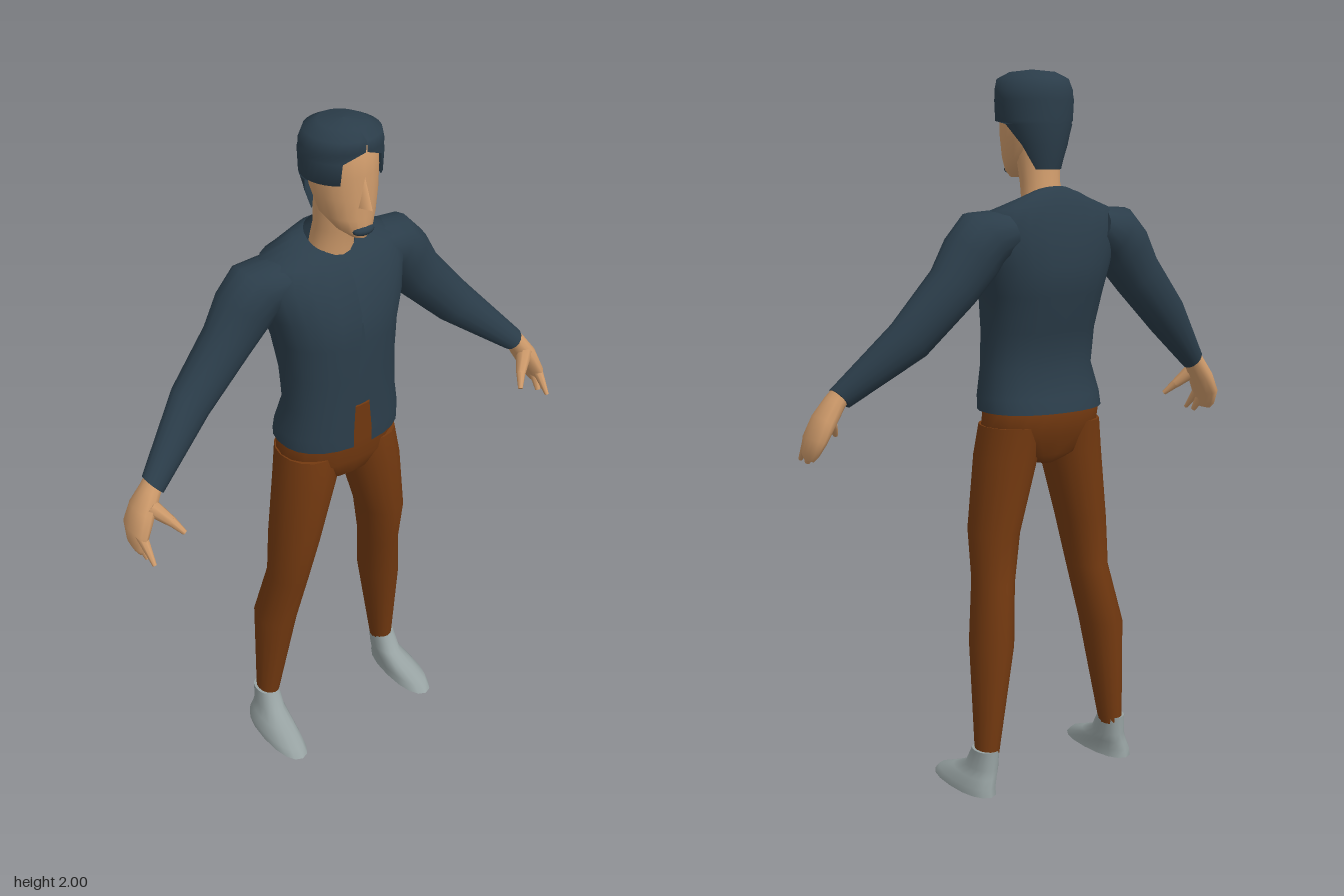
import * as THREE from 'three';

const mat = (name, color, open) => {
  const m = new THREE.MeshStandardMaterial({ color });
  m.name = name;
  if (open) m.side = THREE.DoubleSide;
  return m;
};

// Skin a row of elliptical rings [x, y, z, rx, rz, gap, tilt].
// gap: half angle left open at the front; tilt: rise of the ring with z.
// along: rings stand across the path instead of lying level.
function loft(rows, { n = 16, open = false, along = false, caps = true, p = 1 } = {}) {
  const pos = [], idx = [], front = new THREE.Vector3(0, 0, 1);
  const pow = v => Math.sign(v) * Math.abs(v) ** p;
  const list = rows.map((r, i) => ({ r, i, k: 1 }));
  if (caps) {
    const end = { r: rows.at(-1), i: rows.length - 1 };
    list.unshift({ r: rows[0], i: 0, k: 0 }, { r: rows[0], i: 0, k: 1 });
    list.push({ ...end, k: 1 }, { ...end, k: 0 });
  }
  const cols = open ? n + 1 : n;
  for (const { r, i, k } of list) {
    const [x, y, z, rx, rz, gap = 0, tilt = 0] = r;
    const dir = new THREE.Vector3(0, 1, 0);
    if (along) {
      const a = rows[Math.max(i - 1, 0)], b = rows[Math.min(i + 1, rows.length - 1)];
      dir.set(b[0] - a[0], b[1] - a[1], 0).normalize();
    }
    const side = dir.clone().cross(front);
    for (let j = 0; j < cols; j++) {
      const t = gap + (2 * Math.PI - 2 * gap) * j / n;
      const u = pow(Math.sin(t)) * rx * k, v = pow(Math.cos(t)) * rz * k;
      pos.push(x + side.x * u, y + side.y * u + tilt * v, z + v);
    }
  }
  for (let i = 0; i < list.length - 1; i++) {
    for (let j = 0; j < n; j++) {
      const a = i * cols + j, b = i * cols + (j + 1) % cols;
      idx.push(a, b, b + cols, a, b + cols, a + cols);
    }
  }
  const g = new THREE.BufferGeometry();
  g.setAttribute('position', new THREE.Float32BufferAttribute(pos, 3));
  g.setIndex(idx);
  g.computeVertexNormals();
  return g;
}

// Tapered round bar between two points
function taper(a, b, r0, r1) {
  const A = new THREE.Vector3(...a), B = new THREE.Vector3(...b), d = B.clone().sub(A);
  const g = new THREE.CylinderGeometry(r1, r0, d.length(), 8);
  g.applyQuaternion(new THREE.Quaternion().setFromUnitVectors(new THREE.Vector3(0, 1, 0), d.normalize()));
  const c = A.add(B).multiplyScalar(0.5);
  return g.translate(c.x, c.y, c.z);
}

export function createModel() {
  const model = new THREE.Group();
  model.name = 'standingMan';
  const skin = mat('skin', 0xcf9b6b), brown = mat('brown trousers', 0x733910);
  const navy = mat('dark navy', 0x2b3d4a, true), grey = mat('grey shoes', 0x97a2a2);
  const add = (name, geometry, material, parent = model) => {
    const m = new THREE.Mesh(geometry, material);
    m.name = name;
    parent.add(m);
    return m;
  };

  // Jacket, parted at the front below the chest
  add('jacket', loft([
    [0, 1.08, -0.005, 0.183, 0.133, 0.13],
    [0, 1.12, 0.0, 0.182, 0.128, 0.13],
    [0, 1.2, 0.012, 0.166, 0.113, 0.11],
    [0, 1.3, 0.003, 0.166, 0.123, 0.07],
    [0, 1.4, -0.012, 0.178, 0.138, 0.03],
    [0, 1.48, -0.02, 0.2, 0.14],
    [0, 1.57, -0.03, 0.222, 0.115],
    [0, 1.625, -0.04, 0.2, 0.088, 0, -0.15],
    [0, 1.655, -0.035, 0.1, 0.068, 0, -0.4],
    [0, 1.663, -0.03, 0.068, 0.058, 0, -0.5],
  ], { n: 24, open: true, caps: false, p: 0.88 }), navy);
  add('shirt', loft([
    [0, 1.19, 0.008, 0.15, 0.102], [0, 1.3, 0.0, 0.15, 0.112], [0, 1.45, -0.015, 0.17, 0.12],
  ], { p: 0.88 }), navy);

  // Trousers
  add('hips', loft([
    [0, 0.925, -0.005, 0.03, 0.05],
    [0, 0.955, -0.005, 0.12, 0.085],
    [0, 1.01, -0.002, 0.182, 0.102],
    [0, 1.08, -0.012, 0.176, 0.12],
    [0, 1.2, 0.01, 0.153, 0.106],
  ], { n: 20, p: 0.9 }), brown);

  for (const s of [1, -1]) {
    const side = s > 0 ? 'left' : 'right';
    const mx = rows => rows.map(([x, ...rest]) => [x * s, ...rest]);

    add(side + 'TrouserLeg', loft(mx([
      [0.22, 0.11, -0.06, 0.031, 0.04],
      [0.192, 0.43, -0.045, 0.058, 0.075],
      [0.164, 0.6, -0.012, 0.055, 0.074],
      [0.151, 0.74, 0.003, 0.067, 0.088],
      [0.11, 0.95, 0.003, 0.088, 0.098],
      [0.1, 1.04, -0.005, 0.083, 0.098],
    ])), brown);

    // Shoe with a dark patch under the toe
    add(side + 'Shoe', loft(mx([
      [0.24, 0.003, 0.025, 0.052, 0.138],
      [0.24, 0.025, 0.015, 0.05, 0.125],
      [0.232, 0.05, -0.015, 0.043, 0.09],
      [0.226, 0.075, -0.042, 0.037, 0.06],
      [0.224, 0.13, -0.06, 0.035, 0.043],
    ]), { p: 0.9 }), grey);
    add(side + 'SolePatch', new THREE.BoxGeometry(0.05, 0.005, 0.04), navy)
      .position.set(0.24 * s, 0.0025, 0.105);

    // Sleeve from inside the shoulder to the wrist
    add(side + 'Sleeve', loft(mx([
      [0.15, 1.575, -0.045, 0.06, 0.085],
      [0.215, 1.555, -0.05, 0.085, 0.085],
      [0.255, 1.51, -0.052, 0.085, 0.077],
      [0.31, 1.435, -0.05, 0.074, 0.064],
      [0.437, 1.303, -0.035, 0.063, 0.054],
      [0.603, 1.155, 0.04, 0.034, 0.036],
    ]), { along: true }), navy);

    // Hand: cupped palm, two fingers and a thumb
    const hand = new THREE.Group();
    hand.name = side + 'Hand';
    model.add(hand);
    add('palm', loft(mx([
      [0.59, 1.178, 0.038, 0.026, 0.028],
      [0.615, 1.145, 0.045, 0.028, 0.034],
      [0.645, 1.1, 0.05, 0.03, 0.048],
      [0.67, 1.05, 0.056, 0.024, 0.055],
      [0.68, 1.01, 0.066, 0.014, 0.042],
      [0.681, 0.995, 0.07, 0.006, 0.028],
    ]), { along: true, n: 12 }), skin, hand);
    const digit = (name, a, b, r0, r1) =>
      add(name, taper([a[0] * s, a[1], a[2]], [b[0] * s, b[1], b[2]], r0, r1), skin, hand);
    digit('indexFinger', [0.672, 1.05, 0.085], [0.67, 0.985, 0.143], 0.017, 0.006);
    digit('middleFinger', [0.675, 1.04, 0.07], [0.668, 0.983, 0.105], 0.018, 0.008);
    digit('thumb', [0.632, 1.115, 0.07], [0.592, 1.07, 0.105], 0.024, 0.014);
    digit('thumbTip', [0.594, 1.073, 0.103], [0.57, 1.04, 0.132], 0.014, 0.007);
  }

  // Head and neck
  add('neck', loft([
    [0, 1.59, -0.025, 0.068, 0.058], [0, 1.65, -0.02, 0.06, 0.056],
    [0, 1.7, -0.008, 0.056, 0.056], [0, 1.79, 0.005, 0.062, 0.06],
  ]), skin);
  add('face', loft([
    [0, 1.712, 0.092, 0.022, 0.03],
    [0, 1.73, 0.074, 0.046, 0.055],
    [0, 1.765, 0.046, 0.07, 0.08],
    [0, 1.82, 0.033, 0.083, 0.093],
    [0, 1.88, 0.025, 0.09, 0.098],
    [0, 1.94, 0.025, 0.086, 0.095],
    [0, 1.975, 0.025, 0.06, 0.07],
  ], { n: 20 }), skin);
  const nose = new THREE.ConeGeometry(0.024, 0.085, 4);
  nose.scale(0.85, 1, 1.5).translate(0, 1.842, 0.12);
  add('nose', nose, skin);
  const beard = new THREE.SphereGeometry(1, 14, 8);
  beard.scale(0.032, 0.014, 0.018).translate(0, 1.733, 0.118);
  add('chinBeard', beard, navy);

  // Hair: nape, curtain sides and crown
  add('hair', loft([
    [0, 1.735, -0.015, 0.056, 0.05, 2.3],
    [0, 1.8, 0.0, 0.08, 0.08, 1.95],
    [0, 1.855, 0.012, 0.101, 0.097, 1.6],
    [0, 1.863, 0.02, 0.106, 0.105, 0.62],
    [0, 1.92, 0.02, 0.109, 0.107, 0.56],
    [0, 1.945, 0.022, 0.107, 0.106, 0.02],
    [0, 1.975, 0.027, 0.096, 0.102],
    [0, 1.993, 0.028, 0.06, 0.068],
    [0, 2.0, 0.03, 0.001, 0.001],
  ], { n: 28, open: true, caps: false }), navy);

  return model;
}
